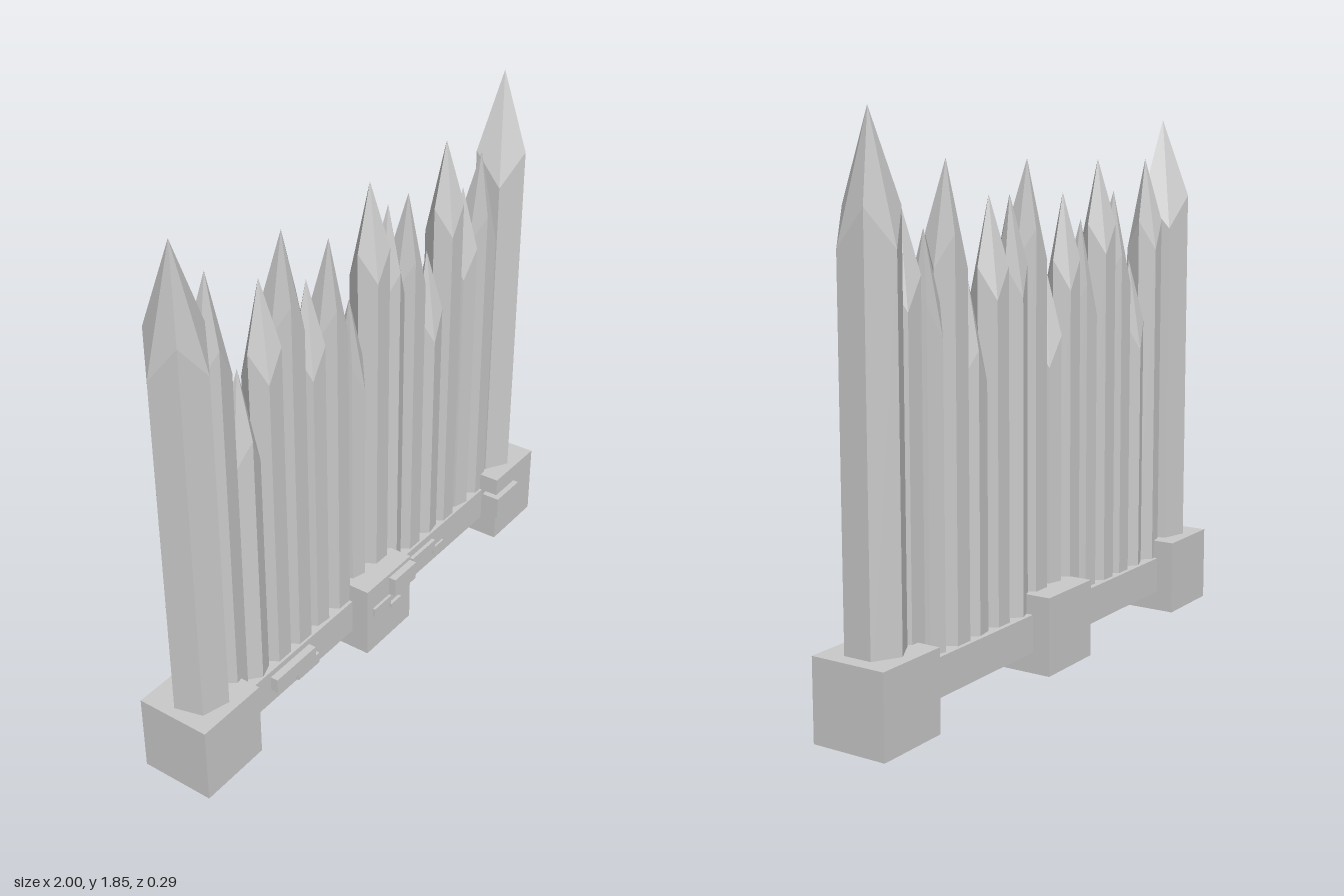
import * as THREE from 'three';

const material = new THREE.MeshStandardMaterial({ color: 0xcccccc, flatShading: true });
const STAKE_Z = -0.012;

// Box given by its limits on each axis
function block(name, x0, x1, y0, y1, z0, z1) {
  const mesh = new THREE.Mesh(new THREE.BoxGeometry(x1 - x0, y1 - y0, z1 - z0), material);
  mesh.position.set((x0 + x1) / 2, (y0 + y1) / 2, (z0 + z1) / 2);
  mesh.name = name;
  return mesh;
}

// Six-sided stake whose shoulder corners alternate between high and low cuts
function stake(name, x, tipY, radius, turn, highDrop, lowDrop, baseY) {
  const corner = (i, y) => {
    const a = THREE.MathUtils.degToRad(turn + i * 60);
    return [radius * Math.cos(a), y, radius * Math.sin(a)];
  };
  const shoulder = (i) => corner(i, tipY - (i % 2 ? lowDrop : highDrop));
  const tip = [0, tipY, 0];
  const points = [];
  for (let i = 0; i < 6; i++) {
    const pb = corner(i, baseY), qb = corner(i + 1, baseY);
    const pt = shoulder(i), qt = shoulder(i + 1);
    points.push(...qb, ...pb, ...pt, ...qb, ...pt, ...qt, ...qt, ...pt, ...tip);
    points.push(...pb, ...qb, 0, baseY, 0);
  }
  const geometry = new THREE.BufferGeometry();
  geometry.setAttribute('position', new THREE.Float32BufferAttribute(points, 3));
  geometry.computeVertexNormals();
  const mesh = new THREE.Mesh(geometry, material);
  mesh.position.set(x, 0, STAKE_Z);
  mesh.name = name;
  return mesh;
}

export function createModel() {
  const model = new THREE.Group();
  model.name = 'palisade';

  // Stone footings and the low wall joining them
  for (const [name, x] of [['rightFooting', -0.867], ['middleFooting', -0.002], ['leftFooting', 0.867]]) {
    model.add(block(name, x - 0.133, x + 0.133, 0, 0.27, -0.148, 0.118));
  }
  model.add(block('lowWall', -0.8, 0.8, 0.073, 0.203, -0.083, 0.052));

  // Thick end posts
  model.add(stake('rightPost', -0.868, 1.85, 0.1, 15, 0.28, 0.4, 0.15));
  model.add(stake('leftPost', 0.864, 1.85, 0.099, 90, 0.28, 0.4, 0.15));

  // Thin stakes: x, tip height, radius, turn in degrees
  const stakes = [
    [-0.735, 1.705, 0.064, -10],
    [-0.618, 1.342, 0.06, 100],
    [-0.505, 1.593, 0.063, 60],
    [-0.393, 1.705, 0.064, 0],
    [-0.28, 1.5, 0.058, 65],
    [-0.163, 1.593, 0.06, 0],
    [-0.058, 1.342, 0.056, 15],
    [0.056, 1.705, 0.066, 60],
    [0.158, 1.593, 0.06, 100],
    [0.275, 1.593, 0.063, 0],
    [0.392, 1.342, 0.06, 50],
    [0.5, 1.705, 0.065, 60],
    [0.614, 1.5, 0.06, 75],
    [0.73, 1.593, 0.063, 0],
  ];
  const row = new THREE.Group();
  row.name = 'stakes';
  for (const [x, tipY, radius, turn] of stakes) {
    row.add(stake('stake', x, tipY, radius, turn, 0.225, 0.33, 0.15));
  }
  model.add(row);

  // Raised bricks on the front: x range, y range, front z
  const bricks = [
    [-0.596, -0.386, 0.126, 0.181, 0.08],
    [-0.466, -0.35, 0.084, 0.126, 0.067],
    [-0.103, -0.003, 0.148, 0.181, 0.128],
    [-0.003, 0.128, 0.186, 0.255, 0.145],
    [-0.003, 0.057, 0.126, 0.143, 0.13],
    [0.228, 0.378, 0.133, 0.175, 0.066],
    [0.378, 0.448, 0.106, 0.133, 0.06],
    [0.71, 0.864, 0.116, 0.202, 0.14],
  ];
  const brickGroup = new THREE.Group();
  brickGroup.name = 'bricks';
  for (const [x0, x1, y0, y1, z1] of bricks) {
    const z0 = z1 > 0.1 ? 0.07 : 0.03;
    brickGroup.add(block('brick', x0, x1, y0, y1, z0, z1));
  }
  model.add(brickGroup);

  return model;
}
